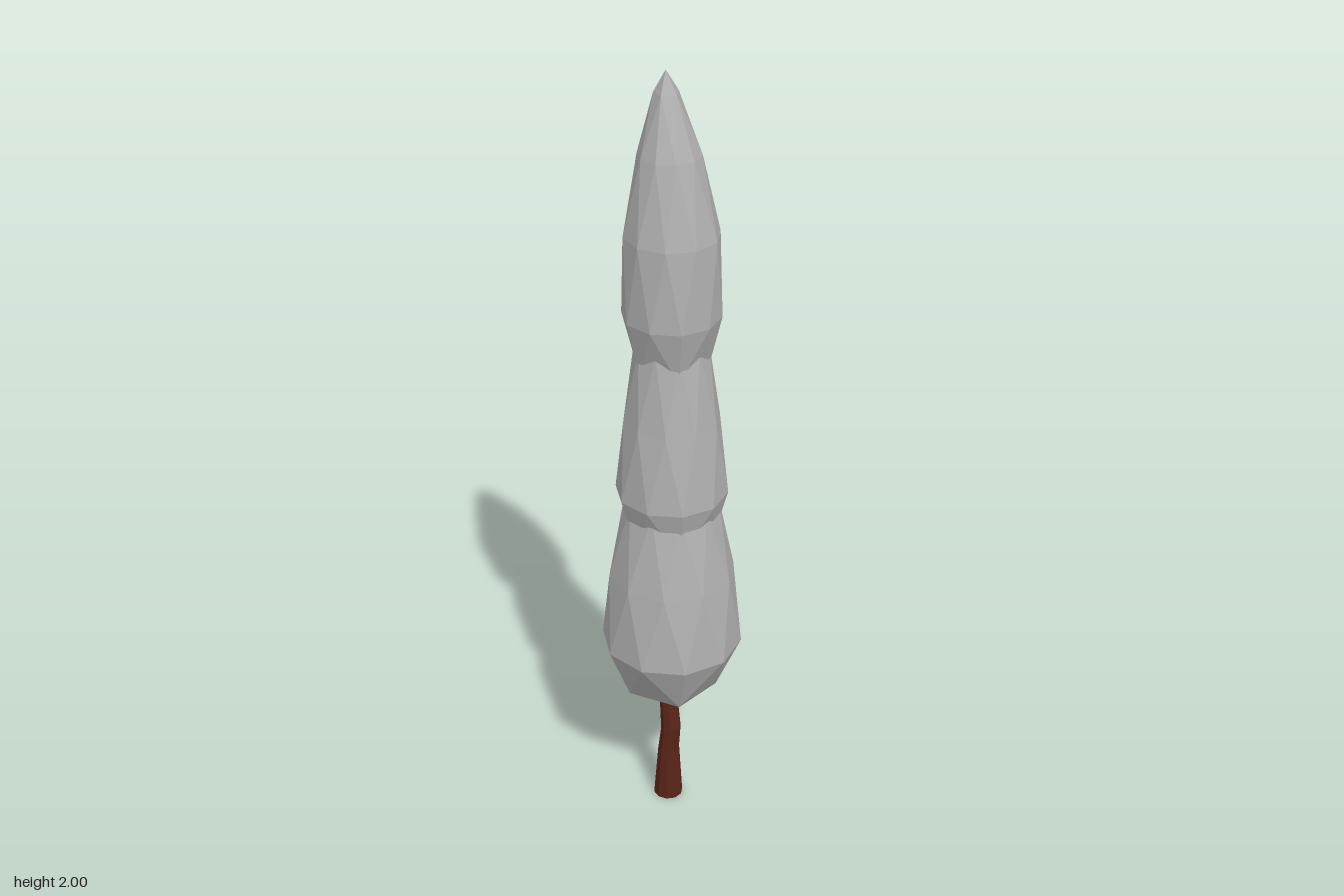
import * as THREE from 'three';

const foliageGrey = new THREE.MeshStandardMaterial({ name: 'foliageGrey', color: 0xb0b0b0 });
const barkBrown = new THREE.MeshStandardMaterial({ name: 'barkBrown', color: 0x5a2418 });

// Moves every vertex by a rule, then gives each facet its own normal.
function reshape(geometry, rule) {
  const flat = geometry.index ? geometry.toNonIndexed() : geometry;
  const pos = flat.attributes.position;
  const v = new THREE.Vector3();
  for (let i = 0; i < pos.count; i++) {
    v.fromBufferAttribute(pos, i);
    rule(v);
    pos.setXYZ(i, v.x, v.y, v.z);
  }
  flat.computeVertexNormals();
  return flat;
}

// Faceted blob: the seven vertex rings of a pole-up icosphere are moved
// to the given [height, radius, xShift] levels, from bottom to top.
function foliageBlob(name, levels) {
  const geometry = new THREE.IcosahedronGeometry(1, 1);
  geometry.rotateX(-Math.atan((1 + Math.sqrt(5)) / 2));
  geometry.rotateY(Math.PI / 2);
  const limits = [-0.95, -0.7, -0.2, 0.2, 0.7, 0.95];
  const shaped = reshape(geometry, (v) => {
    const [y, r, shift = 0] = levels[limits.filter((l) => v.y > l).length];
    const length = Math.hypot(v.x, v.z);
    const k = r > 0 ? r / length : 0;
    v.set(v.x * k + shift, y, v.z * k);
  });
  const mesh = new THREE.Mesh(shaped, foliageGrey);
  mesh.name = name;
  return mesh;
}

// Slightly crooked, tapering trunk.
function trunk() {
  const levels = [[0, 0.038, -0.013], [0.15, 0.028, -0.011], [0.22, 0.026, -0.003], [0.32, 0.023, -0.012], [0.4, 0.02, -0.012]];
  const geometry = new THREE.CylinderGeometry(1, 1, 4, 10, 4);
  const shaped = reshape(geometry, (v) => {
    const [y, r, shift] = levels[Math.round(v.y + 2)];
    v.set(v.x * r + shift, y, v.z * r);
  });
  const mesh = new THREE.Mesh(shaped, barkBrown);
  mesh.name = 'trunk';
  return mesh;
}

export function createModel() {
  const tree = new THREE.Group();
  tree.name = 'cypressTree';
  tree.add(
    trunk(),
    foliageBlob('lowerFoliage', [
      [0.325, 0, -0.01], [0.37, 0.118, -0.005], [0.515, 0.177], [0.72, 0.157],
      [0.93, 0.115], [1.03, 0.06], [1.08, 0],
    ]),
    foliageBlob('middleFoliage', [
      [0.77, 0], [0.81, 0.1], [0.95, 0.138], [1.15, 0.117],
      [1.35, 0.088], [1.45, 0.04], [1.5, 0],
    ]),
    foliageBlob('upperFoliage', [
      [1.25, 0], [1.28, 0.085], [1.42, 0.118], [1.62, 0.113],
      [1.81, 0.074, -0.006], [1.95, 0.03, -0.015], [2, 0, -0.018],
    ]),
  );
  return tree;
}
